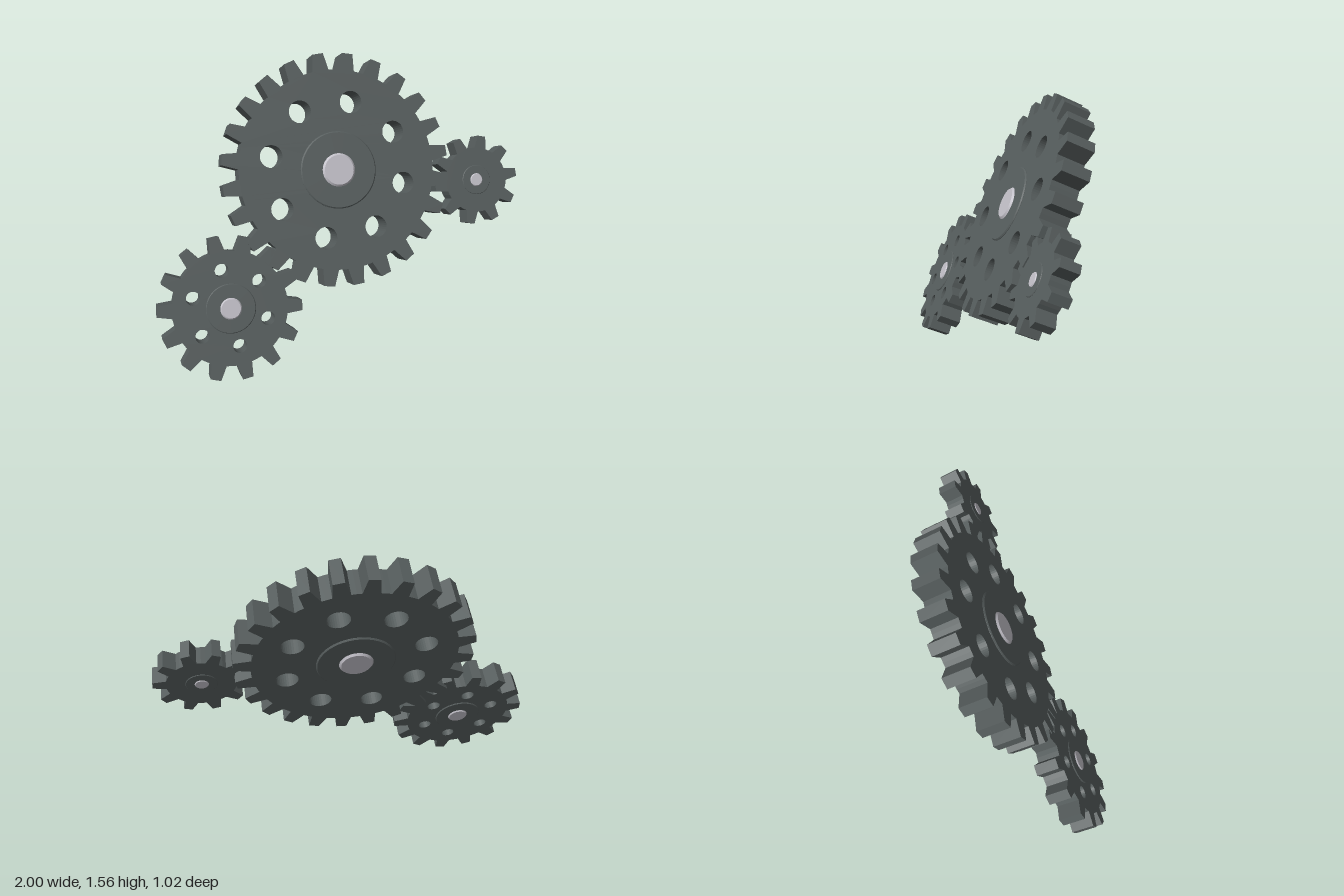
import * as THREE from 'three';

export function createModel() {
  const steel = new THREE.MeshStandardMaterial({ color: 0x565d5d });
  steel.name = 'dark steel';
  const silver = new THREE.MeshStandardMaterial({ color: 0xc0bec6 });
  silver.name = 'polished silver';
  const rad = THREE.MathUtils.degToRad;

  // Toothed outline with tapered teeth and an optional ring of round holes
  function gearShape({ teeth, outer, root, tip, base, phase, holes, holeDist, holeR, holePhase }) {
    const points = [];
    const polar = (r, a) => points.push(new THREE.Vector2(r * Math.cos(a), r * Math.sin(a)));
    const pitch = (Math.PI * 2) / teeth;
    for (let i = 0; i < teeth; i++) {
      const a = rad(phase) + i * pitch;
      const halfBase = base / 2 / root, halfTip = tip / 2 / outer;
      polar(root, a - halfBase);
      polar(outer, a - halfTip);
      polar(outer, a + halfTip);
      polar(root, a + halfBase);
      polar(root, a + pitch / 2);
    }
    const shape = new THREE.Shape(points);
    for (let i = 0; i < holes; i++) {
      const a = rad(holePhase) + (i * Math.PI * 2) / holes;
      const hole = new THREE.Path();
      hole.absarc(holeDist * Math.cos(a), holeDist * Math.sin(a), holeR, 0, Math.PI * 2, true);
      shape.holes.push(hole);
    }
    return shape;
  }

  // Solid turned disc along z with bevelled rims on both faces
  function disc(name, radius, half, bevel, material) {
    const profile = [
      [0, -half], [radius - bevel, -half], [radius - bevel, -half],
      [radius, -half + bevel], [radius, -half + bevel],
      [radius, half - bevel], [radius, half - bevel],
      [radius - bevel, half], [radius - bevel, half], [0, half],
    ].map(([x, y]) => new THREE.Vector2(x, y));
    const geometry = new THREE.LatheGeometry(profile, 48).rotateX(Math.PI / 2);
    const mesh = new THREE.Mesh(geometry, material);
    mesh.name = name;
    return mesh;
  }

  // One wheel: toothed plate, raised boss and axle showing on both faces
  function gear(name, o) {
    const group = new THREE.Group();
    group.name = name;
    const plate = new THREE.ExtrudeGeometry(gearShape(o), {
      depth: o.thick, bevelEnabled: false, curveSegments: 16,
    }).translate(0, 0, -o.thick / 2);
    const wheel = new THREE.Mesh(plate, steel);
    wheel.name = 'toothedWheel';
    const h = o.thick / 2;
    group.add(
      wheel,
      disc('hubBoss', o.boss, h + o.boss * 0.04, o.boss * 0.03, steel),
      disc('axle', o.axle, h + o.axle * 0.2, o.axle * 0.14, silver),
    );
    group.position.set(...o.at);
    return group;
  }

  // Shared tilted plane of the gear train
  const normal = new THREE.Vector3(-0.4, 0.415, 0.817).normalize();
  const across = new THREE.Vector3(0, 1, 0).cross(normal).normalize();
  const up = normal.clone().cross(across);
  const tilt = new THREE.Quaternion().setFromRotationMatrix(
    new THREE.Matrix4().makeBasis(across, up, normal));

  const model = new THREE.Group();
  model.name = 'gearTrain';
  model.add(
    gear('largeGear', {
      at: [0.07, 0.957, -0.085], teeth: 24, outer: 0.625, root: 0.535, tip: 0.058, base: 0.088,
      phase: 4, thick: 0.15, holes: 8, holeDist: 0.37, holeR: 0.06, holePhase: 28,
      boss: 0.207, axle: 0.092,
    }),
    gear('mediumGear', {
      at: [-0.64, 0.367, -0.123], teeth: 14, outer: 0.378, root: 0.3, tip: 0.055, base: 0.08,
      phase: 20, thick: 0.125, holes: 6, holeDist: 0.203, holeR: 0.036, holePhase: 37,
      boss: 0.13, axle: 0.058,
    }),
    gear('smallGear', {
      at: [0.745, 0.838, 0.328], teeth: 10, outer: 0.247, root: 0.18, tip: 0.046, base: 0.068,
      phase: 4, thick: 0.1, holes: 0, boss: 0.082, axle: 0.037,
    }),
  );
  for (const wheel of model.children) wheel.quaternion.copy(tilt);
  return model;
}
